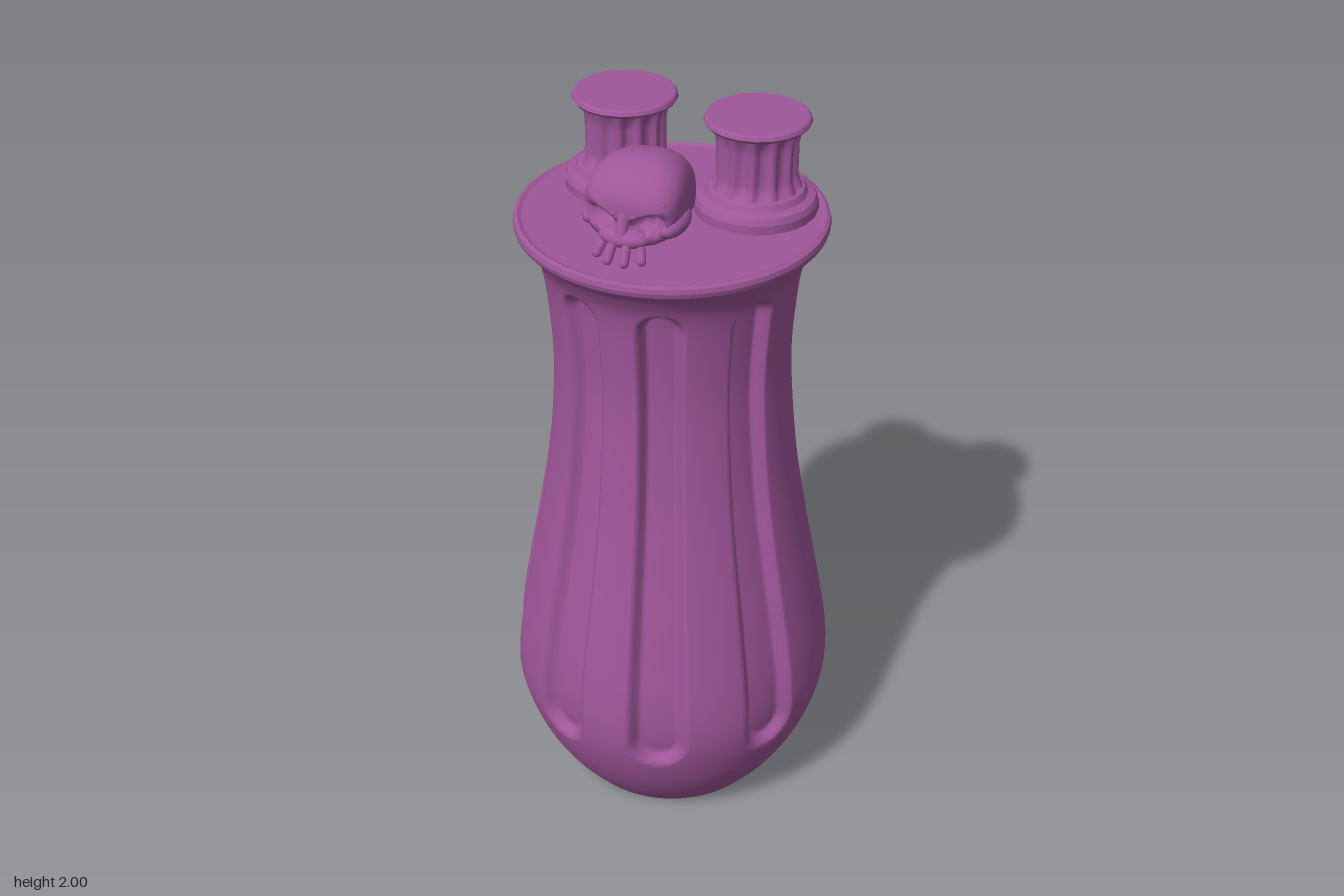
import * as THREE from 'three';

const material = new THREE.MeshStandardMaterial({ color: 0x9f5699 });
const smooth = THREE.MathUtils.smoothstep;

function add(parent, name, geometry, x = 0, y = 0, z = 0) {
  const mesh = new THREE.Mesh(geometry, material);
  mesh.name = name;
  mesh.position.set(x, y, z);
  parent.add(mesh);
  return mesh;
}

// Closed skin over rings: point(i, j) gives corner j of ring i
function skin(rings, sides, point) {
  const positions = [], index = [];
  for (let i = 0; i < rings; i++) {
    for (let j = 0; j < sides; j++) {
      positions.push(...point(i, j));
      if (i === rings - 1) continue;
      const a = i * sides + j, b = i * sides + (j + 1) % sides;
      index.push(a, b, b + sides, a, b + sides, a + sides);
    }
  }
  const g = new THREE.BufferGeometry();
  g.setAttribute('position', new THREE.Float32BufferAttribute(positions, 3));
  g.setIndex(index);
  g.computeVertexNormals();
  return g;
}

// Lathe with crisp corners: each profile segment is turned on its own
function turned(parent, name, profile, sides) {
  const group = new THREE.Group();
  group.name = name;
  for (let i = 0; i < profile.length - 1; i++) {
    const pts = [profile[i], profile[i + 1]].map(p => new THREE.Vector2(...p));
    add(group, name + 'Band', new THREE.LatheGeometry(pts, sides));
  }
  parent.add(group);
  return group;
}

// Waisted body with round-ended flutes sunk into it
function bodyGeometry() {
  const curve = new THREE.SplineCurve([
    [0.285, 0], [0.35, 0.09], [0.405, 0.2], [0.44, 0.33], [0.437, 0.47], [0.405, 0.66], [0.367, 0.86],
    [0.332, 1.08], [0.311, 1.34], [0.318, 1.52], [0.333, 1.63], [0.36, 1.69], [0.388, 1.725],
  ].map(p => new THREE.Vector2(...p)));
  const flutes = [-21, 18, 61, 121, 164, -160, -113, -66].map(THREE.MathUtils.degToRad);
  const rings = 125, sides = 288;
  return skin(rings, sides, (i, j) => {
    const p = curve.getPoint(i / (rings - 1));
    const angle = j / sides * Math.PI * 2;
    const w = p.x * 0.185;
    const dy = Math.max(0, p.y - (1.645 - w), 0.27 + w - p.y);
    let depth = 0;
    for (const f of flutes) {
      const da = Math.atan2(Math.sin(angle - f), Math.cos(angle - f));
      const d = Math.hypot(da * p.x, dy) / w;
      depth = Math.max(depth, 0.034 * (1 - smooth(d, 0.68, 1)));
    }
    const r = p.x - depth;
    return [r * Math.sin(angle), p.y, r * Math.cos(angle)];
  });
}

// Small fluted column with stepped foot and flat cap
function column(x) {
  const group = new THREE.Group();
  group.name = 'column';
  turned(group, 'columnFoot', [[0.157, 1.74], [0.157, 1.775], [0.15, 1.79], [0.13, 1.797],
    [0.122, 1.812], [0.1, 1.82]], 20);
  const heights = [1.81, 1.83, 1.85, 1.93, 1.96, 1.985];
  const radii = [0.115, 0.108, 0.103, 0.103, 0.108, 0.116];
  add(group, 'columnShaft', skin(heights.length, 96, (i, j) => {
    const a = j / 96 * Math.PI * 2;
    const groove = (i > 0 && i < 5) ? 0.013 * smooth(Math.cos(a * 12), -0.5, 0.3) : 0;
    const r = radii[i] - groove;
    return [r * Math.sin(a), heights[i], r * Math.cos(a)];
  }));
  turned(group, 'columnCap', [[0.1, 1.975], [0.128, 1.98], [0.134, 1.988], [0.13, 1.997], [0.125, 2], [0, 2]], 20);
  group.position.set(x, 0, -0.11);
  return group;
}

function skull() {
  const group = new THREE.Group();
  group.name = 'skull';
  // Cranium stations from back to face: z, half width, bottom, top
  const stations = [
    [-0.01, 0.005, 1.83, 1.85], [0.0, 0.04, 1.79, 1.895], [0.03, 0.073, 1.77, 1.93], [0.08, 0.097, 1.772, 1.963],
    [0.13, 0.106, 1.778, 1.984], [0.18, 0.118, 1.786, 1.99], [0.22, 0.12, 1.79, 1.982],
    [0.25, 0.116, 1.793, 1.965], [0.272, 0.105, 1.797, 1.945], [0.283, 0.088, 1.806, 1.93],
    [0.289, 0.07, 1.82, 1.915], [0.292, 0.045, 1.835, 1.9], [0.293, 0.02, 1.85, 1.88], [0.293, 0.0005, 1.865, 1.866],
  ];
  const sides = 48;
  add(group, 'cranium', skin(stations.length, sides, (i, j) => {
    const [z, w, y0, y1] = stations[i];
    const a = j / sides * Math.PI * 2, c = Math.cos(a), s = Math.sin(a);
    const x = w * Math.sign(c) * Math.abs(c) ** 0.75;
    const y = (y0 + y1) / 2 + (y1 - y0) / 2 * Math.sign(s) * Math.abs(s) ** 0.75;
    // Slanted eye sockets
    const e = Math.hypot((Math.abs(x) - 0.057) / 0.042, (y - 1.862 - (Math.abs(x) - 0.057) * 0.3) / 0.026);
    return [x, y, z > 0.2 ? z - 0.045 * (1 - smooth(e, 0.45, 1.05)) : z];
  }));
  // Brows and cheekbones
  for (const side of [-1, 1]) {
    const brow = add(group, 'brow', new THREE.CapsuleGeometry(0.011, 0.075, 4, 10), side * 0.058, 1.895, 0.274);
    brow.rotation.set(0, side * 0.3, side * (0.42 - Math.PI / 2));
    const cheek = add(group, 'cheekbone', new THREE.SphereGeometry(1, 16, 10), side * 0.099, 1.845, 0.212);
    cheek.scale.set(0.033, 0.028, 0.07);
  }
  // Muzzle with nose ridge and splayed teeth
  const muzzle = add(group, 'muzzle', new THREE.SphereGeometry(1, 20, 12), 0, 1.822, 0.283);
  muzzle.scale.set(0.066, 0.025, 0.038);
  const nose = add(group, 'noseRidge', new THREE.CapsuleGeometry(0.015, 0.05, 4, 10), 0, 1.85, 0.295);
  nose.rotation.x = -0.4;
  for (const [x, length, z] of [[-0.054, 0.026, 0.308], [-0.02, 0.034, 0.325], [0.02, 0.034, 0.325], [0.054, 0.026, 0.308]]) {
    const tooth = add(group, 'tooth', new THREE.CapsuleGeometry(0.012, length, 4, 10), x, 1.793, z);
    tooth.rotation.set(-0.6, 0, x * 5);
  }
  return group;
}

export function createModel() {
  const model = new THREE.Group();
  model.name = 'flutedVessel';
  add(model, 'body', bodyGeometry());
  add(model, 'base', new THREE.CircleGeometry(0.285, 48).rotateX(Math.PI / 2));
  // Lid with a rounded rim
  turned(model, 'lid', [[0.36, 1.7], [0.385, 1.718], [0.393, 1.728], [0.396, 1.74], [0.393, 1.752],
    [0.384, 1.757], [0.374, 1.752], [0, 1.75]], 64);
  model.add(column(-0.175), column(0.18), skull());
  return model;
}
